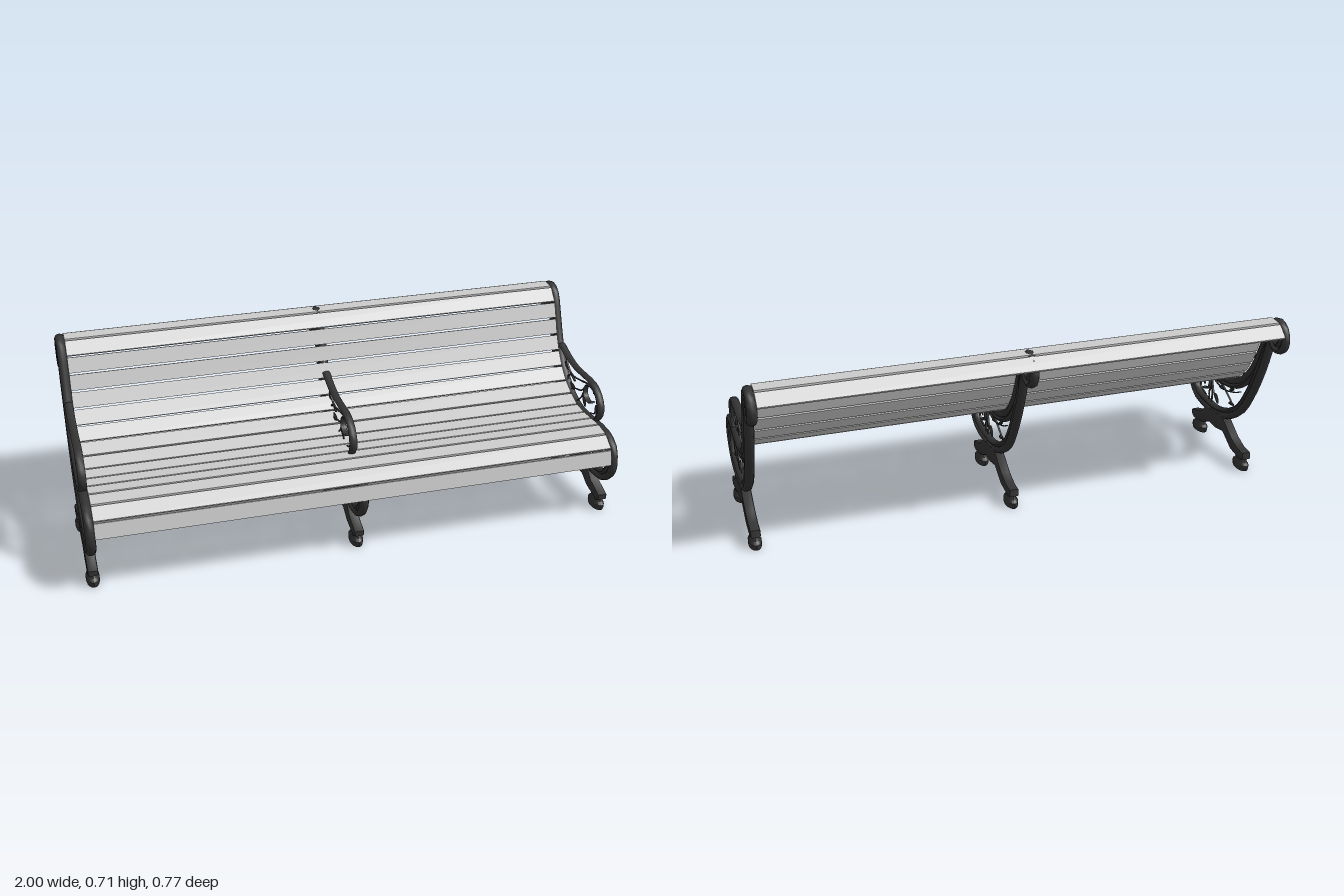
import * as THREE from 'three';
import { toCreasedNormals } from 'three/addons/utils/BufferGeometryUtils.js';

const iron = new THREE.MeshStandardMaterial({ color: 0x333333 });
const wood = new THREE.MeshStandardMaterial({ color: 0xcccccc });

// Points are given as [z, y] in the side plane.
const curveOf = pts =>
  new THREE.CatmullRomCurve3(pts.map(([z, y]) => new THREE.Vector3(0, y, z)), false, 'centripetal');

// Sweeps an elliptical section along a path; r = in-plane radius (or rule), rx = half width.
function sweep(pts, r, rx, { offset = 0, sides = 8, steps = 2 } = {}) {
  const curve = curveOf(pts), n = (pts.length - 1) * steps;
  const pos = [], idx = [];
  for (let k = -1; k <= n + 1; k++) {
    const t = Math.min(Math.max(k / n, 0), 1);
    const p = curve.getPoint(t), d = curve.getTangent(t);
    const cap = k < 0 || k > n ? 0 : 1;
    const s = typeof r === 'function' ? r(t) : r;
    const w = typeof rx === 'function' ? rx(t) : rx;
    for (let j = 0; j < sides; j++) {
      const a = (j / sides) * Math.PI * 2;
      const m = offset + Math.cos(a) * s * cap;
      pos.push(Math.sin(a) * w * cap, p.y - d.z * m, p.z + d.y * m);
    }
  }
  for (let i = 0; i < n + 2; i++) {
    for (let j = 0; j < sides; j++) {
      const a = i * sides + j, b = i * sides + (j + 1) % sides;
      idx.push(a, b, a + sides, b, b + sides, a + sides);
    }
  }
  const g = new THREE.BufferGeometry();
  g.setAttribute('position', new THREE.Float32BufferAttribute(pos, 3));
  g.setIndex(idx);
  return toCreasedNormals(g, 1);
}

// Rail: down the back, along the seat, round the front, underneath and up again.
const railPath = [
  [-0.26, 0.68], [-0.231, 0.624], [-0.2, 0.551], [-0.152, 0.457], [-0.086, 0.383], [-0.011, 0.337],
  [0.072, 0.316], [0.179, 0.323], [0.291, 0.327], [0.352, 0.302], [0.372, 0.229], [0.35, 0.182],
  [0.3, 0.144], [0.2, 0.134], [0.113, 0.138], [0.013, 0.173], [-0.074, 0.235], [-0.132, 0.316],
  [-0.184, 0.412], [-0.225, 0.51], [-0.252, 0.592], [-0.262, 0.63],
];
const scrollPath = [];
for (let a = 850; a > 45; a -= 45) {
  const r = 0.064 - 0.00007 * (a - 45), t = a * Math.PI / 180;
  scrollPath.push([-0.304 + r * Math.cos(t), 0.636 + r * Math.sin(t)]);
}

const armPath = [
  [-0.152, 0.501], [-0.08, 0.478], [-0.007, 0.466], [0.076, 0.468], [0.15, 0.468],
  [0.2, 0.445], [0.229, 0.406], [0.227, 0.368], [0.196, 0.335],
];
const armCurl = [
  [0.196, 0.335], [0.215, 0.374], [0.212, 0.41], [0.191, 0.439], [0.152, 0.453],
  [0.113, 0.447], [0.09, 0.422], [0.096, 0.393], [0.134, 0.382], [0.16, 0.395],
];
const seatCurl = [
  [0.294, 0.161], [0.325, 0.198], [0.331, 0.24], [0.304, 0.279], [0.258, 0.292],
  [0.213, 0.279], [0.194, 0.246], [0.211, 0.213], [0.25, 0.2],
];
const twigs = [
  // under the armrest
  [[0.113, 0.453], [0.055, 0.395], [-0.007, 0.375], [-0.05, 0.345]],
  [[0.113, 0.45], [0.045, 0.433], [-0.03, 0.42], [-0.1, 0.441]],
  [[0.09, 0.43], [0.065, 0.374], [0.024, 0.333]],
  [[-0.007, 0.406], [-0.06, 0.427], [-0.11, 0.475]],
  [[-0.03, 0.42], [-0.07, 0.4], [-0.055, 0.36]],
  [[0.19, 0.395], [0.186, 0.36], [0.148, 0.343]],
  // under the seat
  [[0.2, 0.281], [0.096, 0.26], [-0.007, 0.285], [-0.06, 0.31]],
  [[0.19, 0.277], [0.17, 0.219], [0.128, 0.177]],
  [[0.18, 0.277], [0.1, 0.277], [0.03, 0.245], [-0.02, 0.22]],
  [[0.175, 0.235], [0.205, 0.2], [0.2, 0.165]],
  [[0.18, 0.23], [0.175, 0.155]],
  [[0.287, 0.219], [0.279, 0.192], [0.23, 0.175]],
];
const leaves = [
  [[-0.065, 0.427], [-0.105, 0.445]], [[0.075, 0.395], [0.1, 0.345]],
  [[-0.005, 0.37], [-0.04, 0.385]], [[0.19, 0.45], [0.155, 0.432]],
  [[0.275, 0.25], [0.245, 0.215]], [[0.155, 0.212], [0.12, 0.18]],
  [[0.12, 0.262], [0.08, 0.26]], [[0.03, 0.225], [-0.01, 0.23]], [[0.03, 0.28], [-0.005, 0.297]],
];

// Splayed leg pair, a bevelled extrusion.
function legGeometry() {
  const shape = new THREE.Shape([
    [0.313, 0.069], [0.235, 0.095], [0.2, 0.128], [0.13, 0.145], [0.045, 0.15], [-0.035, 0.1],
    [-0.09, 0.08], [-0.14, 0.076], [-0.143, 0.055], [-0.12, 0.046], [-0.04, 0.055], [0.036, 0.098],
    [0.105, 0.084], [0.16, 0.087], [0.21, 0.06], [0.295, 0.044], [0.313, 0.054],
  ].map(([z, y]) => new THREE.Vector2(z, y)));
  const g = new THREE.ExtrudeGeometry(shape, {
    depth: 0.022, bevelThickness: 0.008, bevelSize: 0.006, bevelOffset: -0.002, bevelSegments: 2,
  });
  g.translate(0, 0, -0.011).rotateY(-Math.PI / 2);
  return toCreasedNormals(g, 0.7);
}

function footGeometry() {
  const profile = [[0, 0], [0.046, 0], [0.049, 0.008], [0.049, 0.022], [0.037, 0.031], [0.03, 0.048], [0, 0.048]];
  const g = new THREE.LatheGeometry(profile.map(([r, y]) => new THREE.Vector2(r, y)), 16);
  return toCreasedNormals(g.scale(0.5, 1, 1), 0.7);
}

export function createModel() {
  const bench = new THREE.Group();
  bench.name = 'bench';

  // Cast iron parts shared by all three supports
  const foot = footGeometry();
  const leafR = t => 0.002 + 0.005 * Math.sin(Math.PI * t);
  const parts = [
    ['outerRail', sweep([...scrollPath, ...railPath], t => 0.0115 + 0.003 * Math.min(1, t * 2), 0.018)],
    ['innerRail', sweep(railPath.slice(1, -1), 0.011, 0.015, { offset: 0.021 })],
    ['armrestRail', sweep(armPath, 0.0075, 0.015)],
    ['armrestCurl', sweep(armCurl, t => 0.006 - 0.002 * t, 0.011)],
    ['seatCurl', sweep(seatCurl, t => 0.0065 - 0.002 * t, 0.011)],
    ['legs', legGeometry()],
    ['frontFoot', foot.clone().translate(0, 0, 0.267)],
    ['rearFoot', foot.clone().translate(0, 0, -0.103)],
    ...twigs.map(p => ['twig', sweep(p, t => 0.004 - 0.002 * t, t => 0.005 - 0.002 * t, { sides: 6, steps: 3 })]),
    ...leaves.map(p => ['leaf', sweep(p, leafR, leafR, { sides: 6, steps: 5 })]),
  ];
  [['leftSupport', 0.975], ['middleSupport', 0], ['rightSupport', -0.975]].forEach(([name, x]) => {
    const support = new THREE.Group();
    support.name = name;
    support.position.x = x;
    for (const [part, geometry] of parts) {
      const mesh = new THREE.Mesh(geometry, iron);
      mesh.name = part;
      support.add(mesh);
    }
    bench.add(support);
  });

  // Wooden slats laid along the seat and back profile
  const profile = curveOf([
    [0.384, 0.24], [0.363, 0.312], [0.293, 0.342], [0.18, 0.337], [0.076, 0.331], [0, 0.354],
    [-0.07, 0.391], [-0.134, 0.459], [-0.184, 0.551], [-0.215, 0.642], [-0.252, 0.694],
    [-0.318, 0.704], [-0.38, 0.66],
  ]);
  const count = 16, pitch = profile.getLength() / count;
  const slatGeometry = new THREE.BoxGeometry(1.92, 0.01, pitch - 0.007);
  for (let i = 0; i < count; i++) {
    const a = profile.getPointAt(i / count), b = profile.getPointAt((i + 1) / count);
    const slat = new THREE.Mesh(slatGeometry, wood);
    slat.name = 'slat';
    slat.position.copy(a).add(b).multiplyScalar(0.5);
    slat.rotation.x = Math.atan2(b.y - a.y, a.z - b.z);
    bench.add(slat);
  }
  return bench;
}
